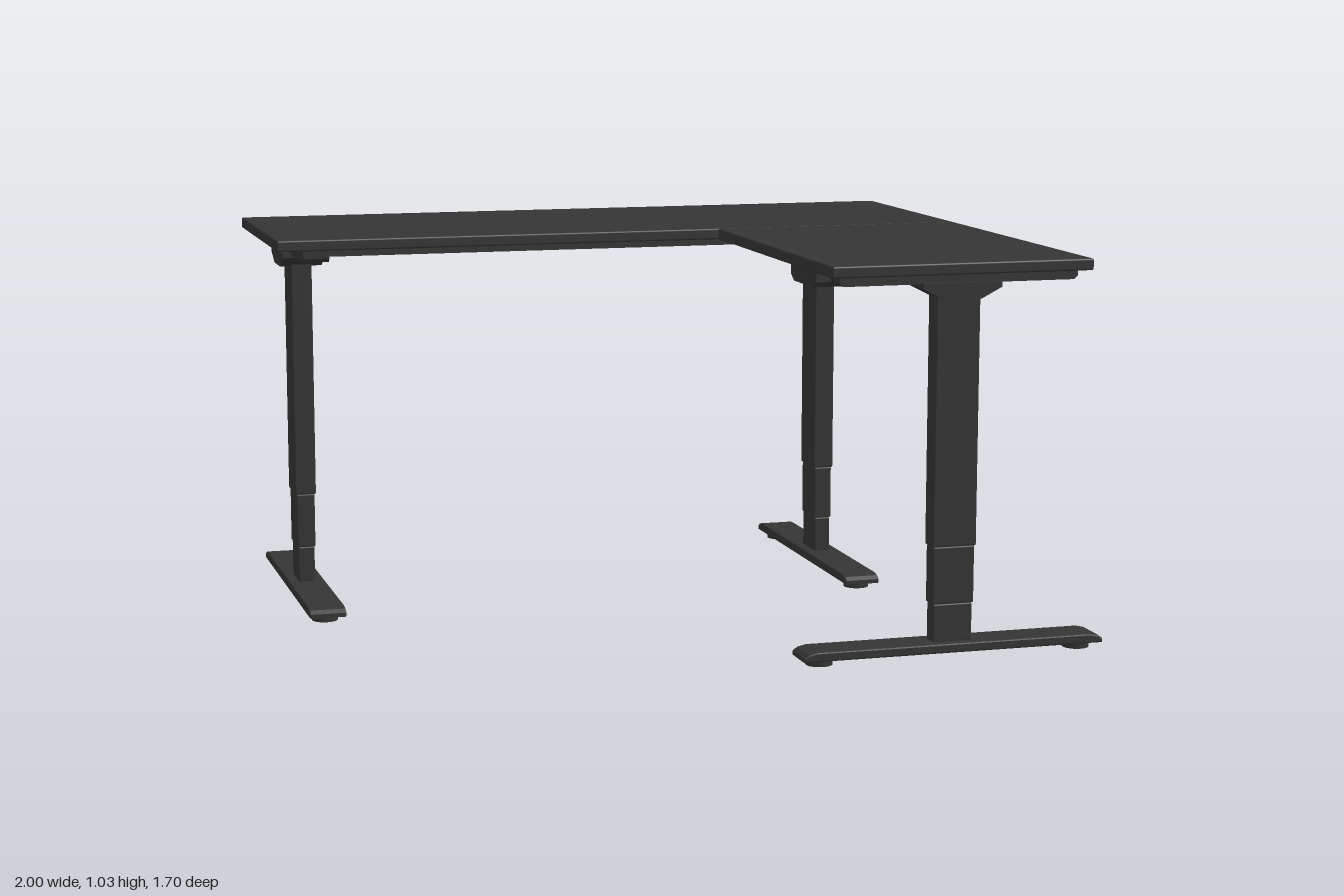
import * as THREE from 'three';
import { RoundedBoxGeometry } from 'three/addons/geometries/RoundedBoxGeometry.js';

const black = new THREE.MeshStandardMaterial({ color: 0x353535 });
black.name = 'charcoal';

function add(parent, name, geometry, x = 0, y = 0, z = 0) {
  const mesh = new THREE.Mesh(geometry, black);
  mesh.name = name;
  mesh.position.set(x, y, z);
  parent.add(mesh);
  return mesh;
}

// Box given by its minimum and maximum corners
function box(parent, name, [x0, y0, z0], [x1, y1, z1], radius = 0) {
  const size = [x1 - x0, y1 - y0, z1 - z0];
  const geometry = radius
    ? new RoundedBoxGeometry(...size, 2, radius)
    : new THREE.BoxGeometry(...size);
  return add(parent, name, geometry, (x0 + x1) / 2, (y0 + y1) / 2, (z0 + z1) / 2);
}

// Side profile in x/y, extruded to a centred width along z
function prism(points, width, bevel = 0) {
  const shape = new THREE.Shape(points.map(([x, y]) => new THREE.Vector2(x, y)));
  const depth = width - 2 * bevel;
  return new THREE.ExtrudeGeometry(shape, {
    depth, bevelEnabled: bevel > 0, bevelThickness: bevel,
    bevelSize: bevel, bevelOffset: -bevel, bevelSegments: 2,
  }).translate(0, 0, -depth / 2);
}

// Telescopic leg whose foot and support arm run along its local x
function makeLeg(name, foot) {
  const leg = new THREE.Group();
  leg.name = name;

  add(leg, 'foot', prism([
    [-foot, 0.017], [foot, 0.017], [foot, 0.028], [foot - 0.012, 0.037],
    [foot - 0.035, 0.042], [-foot + 0.035, 0.042], [-foot + 0.012, 0.037], [-foot, 0.028],
  ], 0.1, 0.004));
  for (const s of [-1, 1]) {
    add(leg, 'levellingPad', new THREE.CylinderGeometry(0.035, 0.035, 0.02, 24),
      s * (foot - 0.055), 0.01, 0);
  }

  // Three nested column stages, widest at the top
  [[0.04, 0.14, 0.106, 0.046], [0.14, 0.29, 0.112, 0.051], [0.29, 0.94, 0.118, 0.058]]
    .forEach(([y0, y1, w, d]) =>
      box(leg, 'columnStage', [-w / 2, y0, -d / 2], [w / 2, y1, d / 2], 0.004));

  // Tapered head and the support arm under the desktop
  add(leg, 'columnHead', prism([
    [-0.05, 0.93], [0.05, 0.93], [0.105, 0.958], [0.105, 0.972], [-0.105, 0.972], [-0.105, 0.958],
  ], 0.115));
  add(leg, 'supportArm', prism([
    [-0.31, 0.968], [0.31, 0.968], [0.32, 0.978], [0.32, 1.002], [-0.32, 1.002], [-0.32, 0.978],
  ], 0.07));
  return leg;
}

export function createModel() {
  const desk = new THREE.Group();
  desk.name = 'cornerDesk';

  // Two panels meeting at a fine seam
  box(desk, 'mainDesktop', [-1, 1, -0.785], [0.915, 1.03, -0.116], 0.005);
  box(desk, 'returnDesktop', [0.22, 1, -0.113], [0.915, 1.03, 0.845], 0.005);

  // Legs
  const left = makeLeg('leftLeg', 0.405);
  left.rotation.y = Math.PI / 2;
  left.position.set(-0.893, 0, -0.45);
  const corner = makeLeg('cornerLeg', 0.405);
  corner.rotation.y = Math.PI / 2;
  corner.position.set(0.63, 0, -0.45);
  const front = makeLeg('frontLeg', 0.408);
  front.position.set(0.59, 0, 0.722);
  desk.add(left, corner, front);

  // Rails under both panels
  for (const z of [-0.7, -0.22]) {
    box(desk, 'mainRail', [-0.9, 0.975, z - 0.02], [0.84, 1.002, z + 0.02]);
  }
  for (const x of [0.33, 0.83]) {
    box(desk, 'returnRail', [x - 0.02, 0.972, -0.2], [x + 0.02, 1.002, 0.7]);
  }

  // Control box with sloping sides, lying across the return
  const control = add(desk, 'controlBox', prism([
    [-0.075, 0.953], [0.075, 0.953], [0.1, 0.968], [0.1, 1.002], [-0.1, 1.002], [-0.1, 0.968],
  ], 0.65), 0.57, 0, 0.55);
  control.rotation.y = Math.PI / 2;

  return desk;
}
